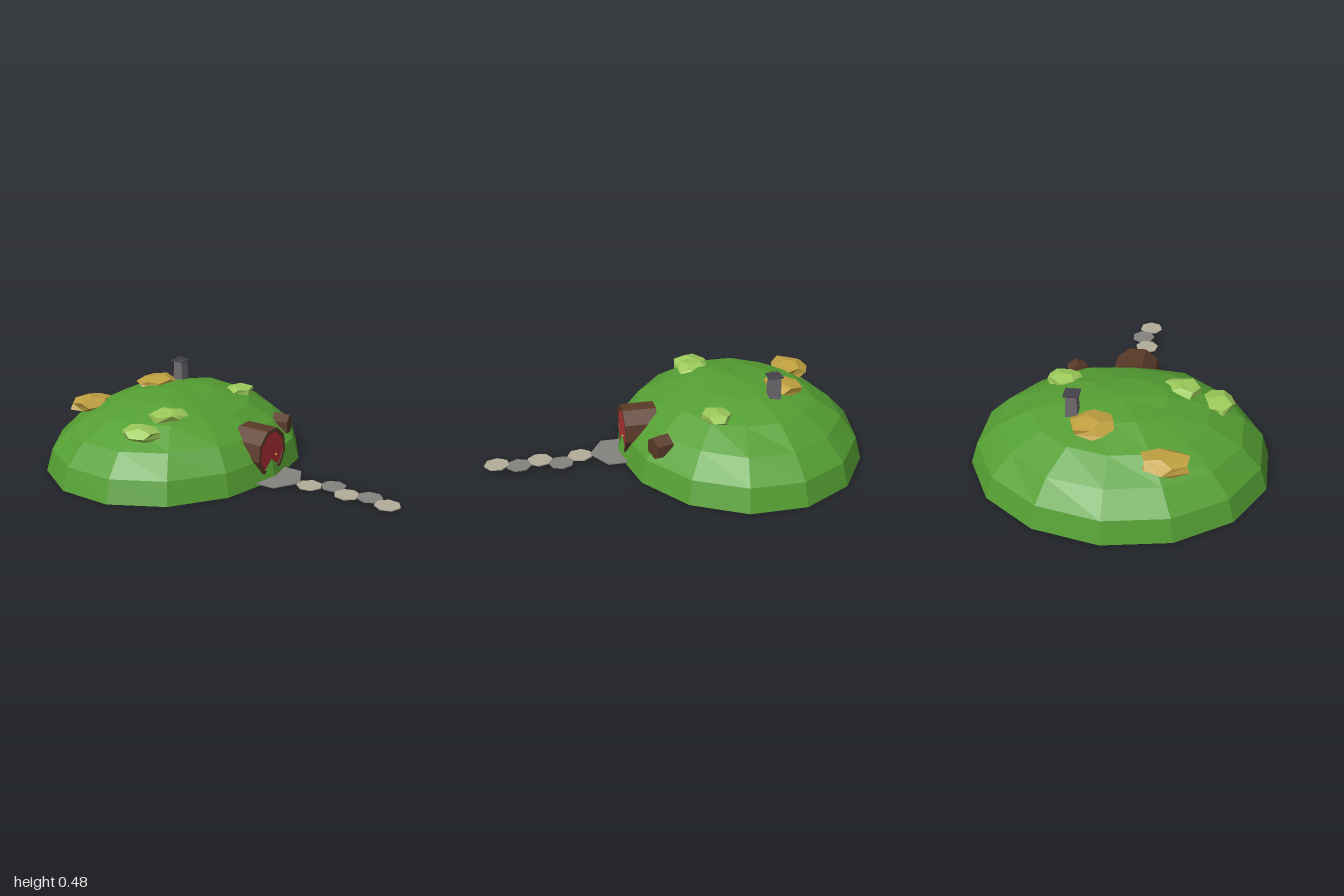
import * as THREE from 'three';

const mat = (color) => new THREE.MeshStandardMaterial({ color, flatShading: true, side: THREE.DoubleSide });
const GRASS = mat(0x559f33), BROWN = mat(0x5a3a28), RED = mat(0xb03034), GOLD = mat(0xc9a545);
const GREY = mat(0x85827f), BEIGE = mat(0xb3ac99), BRICK = mat(0x6e6a6e), DARK = mat(0x45424a);
const LEAF = mat(0x9cc95a), AUTUMN = mat(0xc0a040);

export function createModel() {
  const model = new THREE.Group();
  const add = (name, geo, material, x = 0, y = 0, z = 0, parent = model) => {
    const mesh = new THREE.Mesh(geo, material);
    mesh.name = name;
    mesh.position.set(x, y, z);
    parent.add(mesh);
    return mesh;
  };

  // Vertices nudged by a smooth wave, so seam duplicates stay together
  const roughen = (geo, amount, filter = () => true) => {
    const p = geo.attributes.position, v = new THREE.Vector3();
    for (let i = 0; i < p.count; i++) {
      v.fromBufferAttribute(p, i);
      if (!filter(v)) continue;
      v.multiplyScalar(1 + amount * Math.sin(9 * v.x + 13 * v.y + 1) * Math.cos(11 * v.z - 4 * v.x));
      p.setXYZ(i, v.x, v.y, v.z);
    }
    geo.computeVertexNormals();
    return geo;
  };

  // Hollow grass mound, open underneath
  const dome = new THREE.SphereGeometry(1, 14, 5, Math.PI / 2, Math.PI * 2, 0, Math.PI / 2);
  roughen(dome, 0.025, (v) => v.y > 0.4 && v.y < 0.99);
  dome.scale(0.76, 0.38, 0.65);
  add('mound', dome, GRASS, 0, 0, -0.35);

  // Round doorway: deep ring frame, door leaf and knob
  const polygon = (Type, r, n, turn) => {
    const s = new Type();
    s.setFromPoints(Array.from({ length: n }, (_, i) => {
      const a = turn + (i / n) * Math.PI * 2;
      return new THREE.Vector2(r * Math.cos(a), r * Math.sin(a));
    }));
    return s;
  };
  const door = new THREE.Group();
  door.name = 'doorway';
  door.position.set(0, 0.148, 0);
  model.add(door);
  const ring = polygon(THREE.Shape, 0.128, 9, Math.PI / 2 + Math.PI / 9);
  ring.holes.push(polygon(THREE.Path, 0.108, 9, Math.PI / 2 + Math.PI / 9));
  add('doorFrame', new THREE.ExtrudeGeometry(ring, { depth: 0.175, bevelEnabled: false }), BROWN, 0, 0, 0.1, door);
  const leaf = new THREE.CylinderGeometry(0.11, 0.11, 0.03, 9).rotateX(Math.PI / 2);
  leaf.rotateZ(Math.PI / 2);
  add('door', leaf, RED, 0, 0, 0.256, door);
  add('doorKnob', new THREE.IcosahedronGeometry(0.007, 0), GOLD, 0.035, -0.025, 0.276, door);

  // Hexagonal window box turned outwards
  const win = add('window', new THREE.CylinderGeometry(0.058, 0.066, 0.085, 6).rotateX(Math.PI / 2), BROWN, 0.312, 0.18, 0.135);
  win.rotation.y = 0.3;

  // Chimney with two thin cap plates
  const stack = new THREE.CylinderGeometry(0.038, 0.044, 0.13, 4).rotateY(Math.PI / 4);
  add('chimney', stack, BRICK, 0.213, 0.395, -0.48);
  add('chimneyCap', new THREE.BoxGeometry(0.076, 0.005, 0.076), DARK, 0.213, 0.464, -0.48);
  add('chimneyTop', new THREE.BoxGeometry(0.036, 0.004, 0.036), DARK, 0.213, 0.478, -0.48);

  // Flat doorstep and stepping stones
  add('doorstep', new THREE.CylinderGeometry(0.155, 0.155, 0.006, 6), GREY, 0, 0.016, 0.292);
  [[0, 0.5], [0.06, 0.605], [0.006, 0.71], [0.04, 0.82], [0.006, 0.932]].forEach(([x, z], i) => {
    const stone = add('pathStone' + (i + 1), new THREE.CylinderGeometry(0.066, 0.066, 0.006, 7), i % 2 ? GREY : BEIGE, x, 0.016, z);
    stone.rotation.y = i * 0.7;
  });

  // Flattened shrubs half sunk into the mound: x, y, z, half sizes, material
  [
    [-0.465, 0.285, -0.205, 0.09, 0.036, 0.105, LEAF],
    [-0.275, 0.333, -0.185, 0.11, 0.036, 0.1, LEAF],
    [0.315, 0.322, -0.15, 0.1, 0.034, 0.075, LEAF],
    [-0.265, 0.295, -0.73, 0.125, 0.042, 0.095, AUTUMN],
    [0.1, 0.355, -0.565, 0.122, 0.036, 0.105, AUTUMN],
  ].forEach(([x, y, z, a, b, c, material], i) => {
    const geo = new THREE.DodecahedronGeometry(1.04, 0).rotateY(i * 1.3 + 0.4);
    roughen(geo, 0.12).scale(a, b, c);
    add('shrub' + (i + 1), geo, material, x, y, z);
  });

  return model;
}
